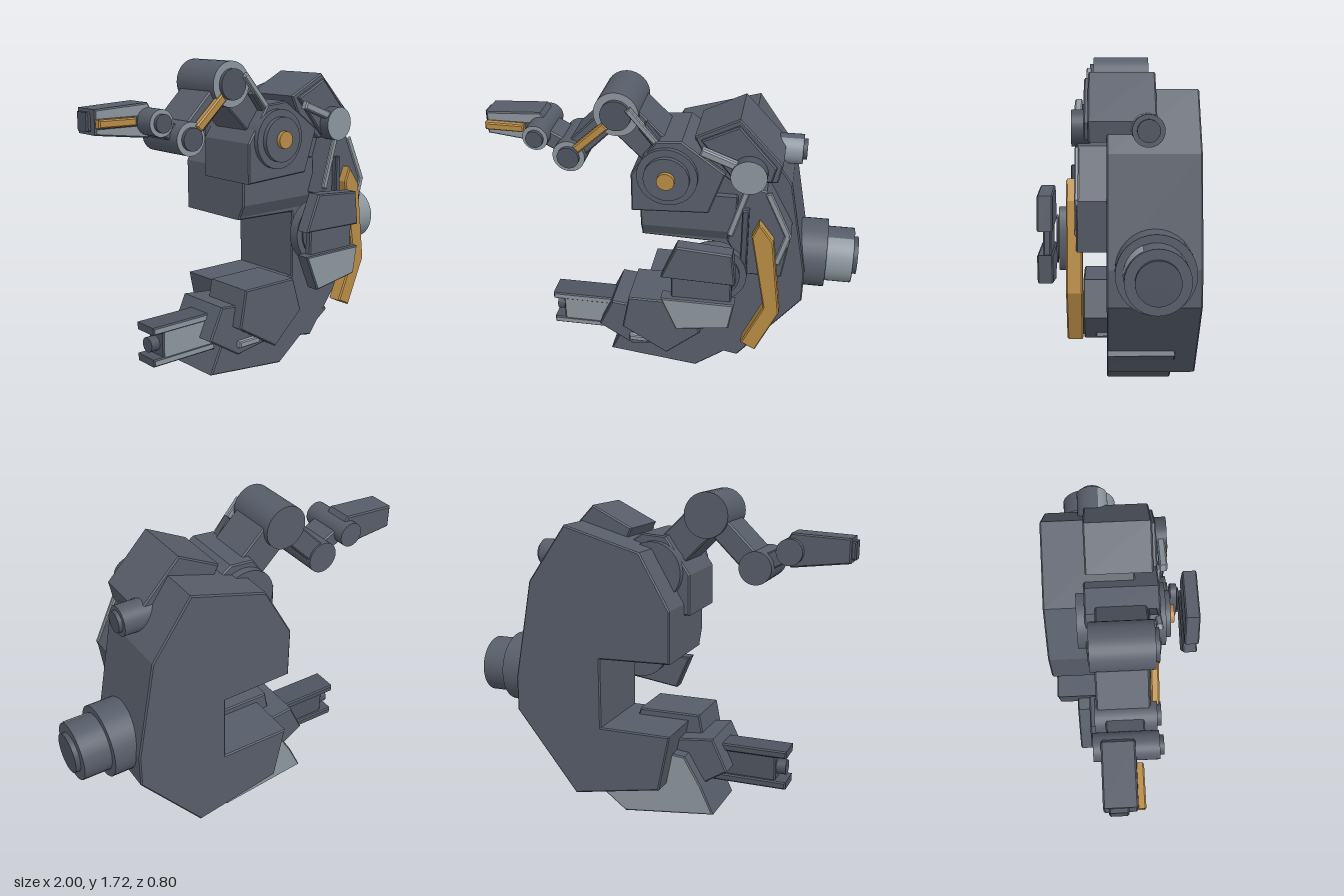
import * as THREE from 'three';

const mat = (name, color) => Object.assign(new THREE.MeshStandardMaterial({ color }), { name });

export function createModel() {
  const slate = mat('slate', 0x575d69);
  const dark = mat('dark slate', 0x4e5460);
  const steel = mat('light steel', 0x8d969e);
  const amber = mat('amber', 0xb98c45);
  const root = new THREE.Group();

  const add = (name, geo, m) => {
    const mesh = new THREE.Mesh(geo, m);
    mesh.name = name;
    root.add(mesh);
    return mesh;
  };

  // Bevelled slab from an x-y outline, with separate front and back face colours
  const slab = (name, pts, z0, z1, side = slate, front = side, back = side, b = 0.007) => {
    const shape = new THREE.Shape(pts.map(p => new THREE.Vector2(p[0], p[1])));
    const geo = new THREE.ExtrudeGeometry(shape, {
      depth: z1 - z0 - 2 * b, bevelThickness: b, bevelSize: b, bevelOffset: -b, bevelSegments: 1,
    });
    geo.translate(0, 0, z0 + b);
    const [lids, walls] = geo.groups.map(g => ({ ...g }));
    geo.clearGroups();
    geo.addGroup(0, lids.count / 2, 0);
    geo.addGroup(lids.count / 2, lids.count / 2, 1);
    geo.addGroup(walls.start, walls.count, 2);
    return add(name, geo, [back, front, side]);
  };
  const rect = (x0, y0, x1, y1) => [[x0, y0], [x1, y0], [x1, y1], [x0, y1]];

  // Straight bar between two points
  const bar = (name, [ax, ay], [bx, by], w, z0, z1, side = slate, front = side) => {
    const len = Math.hypot(bx - ax, by - ay);
    const mesh = slab(name, rect(0, -w / 2, len, w / 2), z0, z1, side, front, side, Math.min(0.007, w / 6));
    mesh.position.set(ax, ay, 0);
    mesh.rotation.z = Math.atan2(by - ay, bx - ax);
    return mesh;
  };

  // Discs and drums along z, or along x
  const discZ = (name, x, y, r, z0, z1, side = slate, front = side) => {
    const geo = new THREE.CylinderGeometry(r, r, z1 - z0, 32).rotateX(Math.PI / 2);
    return add(name, geo.translate(x, y, (z0 + z1) / 2), [side, front, side]);
  };
  const drumX = (name, y, z, r, x0, x1, m = slate) => {
    const geo = new THREE.CylinderGeometry(r, r, x1 - x0, 32).rotateZ(-Math.PI / 2);
    return add(name, geo.translate((x0 + x1) / 2, y, z), m);
  };
  const frontShell = (name, y, z, r, x0, x1) => {
    const geo = new THREE.CylinderGeometry(r, r, x1 - x0, 14, 1, true, -1.15, 2.3).rotateZ(-Math.PI / 2);
    return add(name, geo.translate((x0 + x1) / 2, y, z), steel);
  };

  // Main C-shaped hull
  slab('hull', [[-0.16, 0.88], [-0.16, 1.15], [0, 1.43], [0.41, 1.548], [0.62, 1.25],
    [0.72, 0.72], [0.72, 0.54], [0.38, 0.11], [-0.1, 0.2], [-0.16, 0.5], [0.225, 0.5], [0.225, 0.87]],
    -0.4, 0.05);
  bar('lowerRidge', [0.43, 0.2], [0.505, 0.25], 0.03, -0.29, 0.05);

  // Upper lip with sloping underside, running across x
  const lip = slab('upperLip', [[0, 0.88], [-0.045, 0.885], [-0.085, 0.96], [-0.085, 1.17], [0, 1.17]], -0.16, 0.35);
  lip.rotation.y = Math.PI / 2;

  // Lower jaw: chin, cheek and faceted front block
  slab('chin', [[-0.36, 0.06], [0.14, 0], [0.3, 0.12], [0.38, 0.2], [0.2, 0.4], [-0.2, 0.36], [-0.29, 0.21]],
    -0.29, 0.05, slate, slate, steel);
  slab('cheek', [[-0.41, 0.28], [-0.33, 0.45], [-0.05, 0.42], [0.05, 0.2], [-0.22, 0.16]], -0.22, 0.11);
  slab('jawBlock', [[-0.22, 0.535], [0.12, 0.535], [0.18, 0.34], [-0.01, 0.175], [-0.26, 0.33]], -0.12, 0.175);
  bar('jawRod', [-0.23, 0.225], [-0.09, 0.225], 0.035, 0.1, 0.14, steel);

  // Twin-rail barrel
  slab('barrel', rect(-0.64, 0.22, -0.3, 0.37), -0.11, 0.016, dark, steel);
  for (const y of [0.19, 0.36]) slab('barrelRail', rect(-0.7, y, -0.31, y + 0.04), -0.13, 0.02, dark, steel);
  drumX('muzzle', 0.29, -0.055, 0.04, -0.69, -0.62, dark);

  // Side thruster and small rear knob, both along x
  drumX('thrusterBase', 0.72, -0.175, 0.188, 0.6, 0.83);
  drumX('thrusterBarrel', 0.72, -0.175, 0.15, 0.8, 0.975);
  frontShell('thrusterFrontFacets', 0.72, -0.175, 0.153, 0.835, 0.97);
  drumX('thrusterTip', 0.72, -0.175, 0.103, 0.96, 1, dark);
  drumX('knob', 1.36, -0.145, 0.077, 0.48, 0.66);
  frontShell('knobFrontFacets', 1.36, -0.145, 0.079, 0.5, 0.655);
  drumX('knobTip', 1.36, -0.145, 0.054, 0.65, 0.68, dark);

  // Flank panel with pale edging
  slab('flankPanel', [[0.31, 0.98], [0.42, 1.3], [0.5, 1.28], [0.635, 1.03], [0.6, 0.78], [0.42, 0.78]],
    0.04, 0.195);
  const edging = [[[0.325, 1.01], [0.405, 1.28]], [[0.51, 1.27], [0.622, 1.03]], [[0.622, 1.04], [0.57, 0.86]]];
  for (const [a, b] of edging) bar('panelEdging', a, b, 0.033, 0.18, 0.202, steel);
  slab('amberStripe', [[0.475, 1.12], [0.55, 1.02], [0.605, 0.58], [0.49, 0.32], [0.41, 0.36], [0.52, 0.61],
    [0.44, 1.04]], 0.165, 0.245, amber);
  bar('flankRod', [0.403, 0.82], [0.403, 1.18], 0.035, 0.18, 0.225, dark);

  // Shoulder cap with hinge
  slab('shoulderCap', [[0.13, 1.52], [0.35, 1.63], [0.57, 1.4], [0.55, 1.3], [0.33, 1.28], [0.2, 1.38]],
    -0.19, 0.14);
  slab('shoulderCapFace', [[0.165, 1.51], [0.35, 1.6], [0.54, 1.39], [0.52, 1.31], [0.34, 1.3]], 0.13, 0.16);
  discZ('capHinge', 0.41, 1.36, 0.09, 0.13, 0.22, dark, steel);
  bar('capRod', [0.17, 1.475], [0.38, 1.395], 0.042, 0.17, 0.21, steel);

  // Floating core and its shield plates
  discZ('coreDisc', 0.255, 0.79, 0.17, 0.18, 0.235);
  discZ('coreHub', 0.255, 0.79, 0.135, 0.23, 0.245, dark);
  for (const [r, z0, z1, m] of [[0.165, 0.255, 0.29, slate], [0.125, 0.295, 0.303, dark]]) {
    const disc = discZ('coreLens', 0, 0, r, z0, z1, m);
    disc.scale.x = 0.43;
    disc.position.set(0.29, 0.79, 0);
  }
  slab('shieldBridge', rect(0.05, 0.7, 0.36, 0.87), 0.33, 0.37);
  slab('upperShield', [[0.08, 1.04], [0.36, 1.02], [0.38, 0.84], [0, 0.85]], 0.32, 0.4);
  slab('lowerShield', [[0, 0.72], [0.38, 0.72], [0.355, 0.57], [0.08, 0.53]], 0.32, 0.4, slate, steel);

  // Arm socket
  slab('armSocket', [[-0.19, 1.09], [0.21, 1.11], [0.29, 1.34], [0.07, 1.5], [-0.06, 1.49], [-0.19, 1.3]],
    -0.2, 0.165);
  discZ('socketDrum', 0, 1.31, 0.155, -0.24, 0.19);
  discZ('socketRing', 0, 1.31, 0.117, 0.18, 0.215);
  discZ('socketCore', 0, 1.31, 0.045, 0.21, 0.237, amber);

  // Articulated arm: links and joints
  const elbow = [-0.265, 1.6], wrist = [-0.52, 1.35], knuckle = [-0.69, 1.44];
  bar('upperArm', [0, 1.34], elbow, 0.18, -0.15, 0.1);
  bar('forearm', elbow, wrist, 0.11, -0.16, 0.09);
  bar('wristLink', wrist, knuckle, 0.085, -0.12, 0.06);
  for (const [name, [x, y], r, z0, z1] of [['elbow', elbow, 0.115, -0.18, 0.12],
    ['wrist', wrist, 0.084, -0.17, 0.12], ['knuckle', knuckle, 0.066, -0.18, 0.12]]) {
    discZ(name, x, y, r, z0, z1, slate, steel);
    discZ(name + 'Cap', x, y, r * 0.68, z1 - 0.02, z1 + 0.02, dark);
  }
  bar('piston', [-0.2, 1.645], [-0.06, 1.48], 0.03, 0.13, 0.16, steel);
  bar('pistonSleeve', [-0.13, 1.56], [-0.02, 1.42], 0.05, 0.1, 0.15, dark);
  bar('amberRod', [-0.48, 1.395], [-0.32, 1.54], 0.044, 0.095, 0.135, amber);

  // Finger tip
  slab('finger', [[-0.98, 1.515], [-0.69, 1.53], [-0.64, 1.45], [-0.69, 1.36], [-0.98, 1.395]], -0.145, 0.01,
    slate, steel);
  slab('fingerInset', rect(-0.975, 1.42, -0.73, 1.473), -0.04, 0.015, dark);
  bar('fingerStripe', [-0.98, 1.45], [-0.775, 1.448], 0.04, 0.005, 0.045, amber);
  slab('fingerNub', rect(-1, 1.41, -0.96, 1.5), -0.12, -0.03, dark);

  return root;
}
